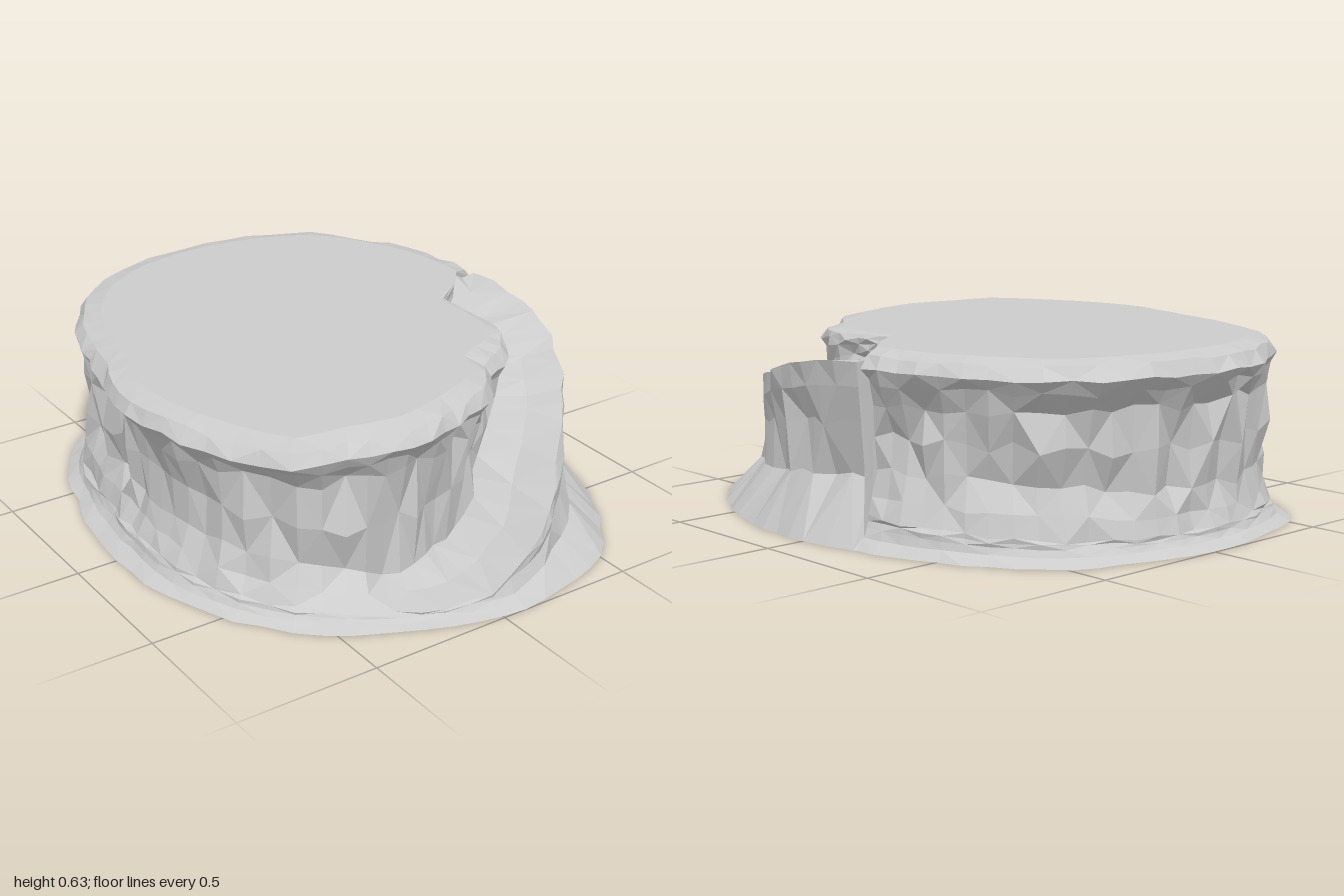
import * as THREE from 'three';

// Stations around the rock: angle (from +x towards +z), rim radius,
// foot radius, foot height, shelf edge radius, shelf edge height, base radius
const RAMP = [
  [0, .50, .50, .56, .80, .58, .86],
  [15, .53, .51, .52, .81, .54, .88],
  [30, .60, .56, .46, .81, .49, .91],
  [45, .62, .56, .38, .81, .43, .96],
  [60, .60, .55, .26, .85, .31, 1.02],
  [75, .69, .60, .14, .91, .17, 1.01],
  [90, .73, .63, .07, .93, .05, .99],
  [105, .80, .69, .07, .89, .03, .95],
];
const WALLS = [
  [120, .84, .75, .12, .87, .04, .93],
  [131, .92, .79, .18, .86, .05, .92],
  [150, .87, .76, .20, .83, .06, .89],
  [180, .84, .71, .20, .77, .08, .85],
  [195, .80, .71, .22, .77, .07, .86],
  [210, .84, .78, .22, .83, .07, .89],
  [225, .91, .87, .22, .91, .07, .97],
  [240, .97, .92, .20, .96, .07, 1.03],
  [255, 1.0, .90, .18, .94, .06, 1.0],
  [270, 1.0, .88, .18, .92, .06, .99],
  [285, 1.0, .87, .20, .91, .06, .97],
  [300, 1.0, .87, .24, .91, .07, .98],
  [315, .93, .82, .25, .87, .08, .92],
  [330, .87, .77, .25, .83, .09, .88],
  [345, .81, .73, .25, .78, .10, .85],
  [346, .70, .70, .62, .81, .60, .85], // the ramp leaves the plateau here
];
const TOP = 0.635;
const { lerp } = THREE.MathUtils;

function seeded(seed) {
  return () => {
    seed = (seed * 16807) % 2147483647;
    return seed / 2147483647 - 0.5;
  };
}

// One radial section from plateau to ground, as [radius, height, roughness]
function section([, rim, footR, footY, edgeR, edgeY, base]) {
  const gap = Math.min(1, (TOP - footY) / 0.3);
  const lipY = TOP - 0.06 * gap;
  const underY = TOP - 0.17 * gap;
  const underR = lerp(rim, footR, 0.75);
  const under = edgeY / 0.58; // how far the shelf overhangs the outer wall
  return [
    [rim * 0.5, TOP, 0],
    [rim - 0.1 * gap, TOP, 0],
    [rim - 0.03 * gap, TOP - 0.018 * gap, 0.3 * gap],
    [rim, lipY, 0.4],
    [lerp(rim, underR, 0.5), lerp(lipY, underY, 0.4), 0.6 * gap],
    [underR, underY, gap],
    [lerp(underR, footR, 0.4), lerp(underY, footY, 0.5), 1.2 * gap],
    [footR, footY, 0.9 * gap],
    [lerp(footR, edgeR, 0.5), lerp(footY, edgeY, 0.5) - 0.01, 0.5],
    [edgeR, edgeY, 0.4],
    [lerp(edgeR, base, 0.12) - 0.02 * under, edgeY * 0.86, 0.3],
    [lerp(edgeR, base, 0.25) - 0.06 * under, edgeY * 0.66, 0.9 * under],
    [lerp(edgeR, base, 0.5) - 0.09 * under, edgeY * 0.35, 0.9 * under],
    [base, 0, 0.3],
  ];
}

function rockGeometry() {
  const stations = [...RAMP, ...WALLS];
  const columns = [];
  stations.forEach((from, i) => {
    const to = stations[i + 1] ?? [360, ...stations[0].slice(1)];
    const steps = Math.max(1, Math.round((to[0] - from[0]) / 6));
    for (let s = 0; s < steps; s++) {
      columns.push(from.map((v, k) => lerp(v, to[k], s / steps)));
    }
  });

  // Jittered grid of vertices, with the plateau centre first
  const rand = seeded(71);
  const positions = [0, TOP, 0];
  let rings = 0;
  for (const column of columns) {
    const points = section(column);
    rings = points.length;
    const angle = THREE.MathUtils.degToRad(column[0]);
    for (const [r, y, rough] of points) {
      const radius = r + rand() * 0.055 * rough;
      const lift = rand() * 0.035 * rough;
      const height = y === 0 ? 0 : Math.max(0.008, Math.min(TOP, y + lift));
      positions.push(Math.cos(angle) * radius, height, Math.sin(angle) * radius);
    }
  }

  // Skin between neighbouring sections; the underside stays open
  const index = [];
  const n = columns.length;
  const id = (c, r) => 1 + (c % n) * rings + r;
  for (let c = 0; c < n; c++) {
    index.push(0, id(c + 1, 0), id(c, 0));
    for (let r = 0; r < rings - 1; r++) {
      const a = id(c, r), b = id(c + 1, r), d = id(c, r + 1), e = id(c + 1, r + 1);
      if ((c + r) % 2) index.push(a, e, d, a, b, e);
      else index.push(a, b, d, b, e, d);
    }
  }
  const geometry = new THREE.BufferGeometry();
  geometry.setAttribute('position', new THREE.Float32BufferAttribute(positions, 3));
  geometry.setIndex(index);
  const flat = geometry.toNonIndexed();
  flat.computeVertexNormals();
  return flat;
}

export function createModel() {
  const group = new THREE.Group();
  group.name = 'rockPlateau';
  const material = new THREE.MeshStandardMaterial({
    color: 0xcccccc, flatShading: true, side: THREE.DoubleSide,
  });
  const rock = new THREE.Mesh(rockGeometry(), material);
  rock.name = 'plateauWithRamp';
  group.add(rock);
  return group;
}
